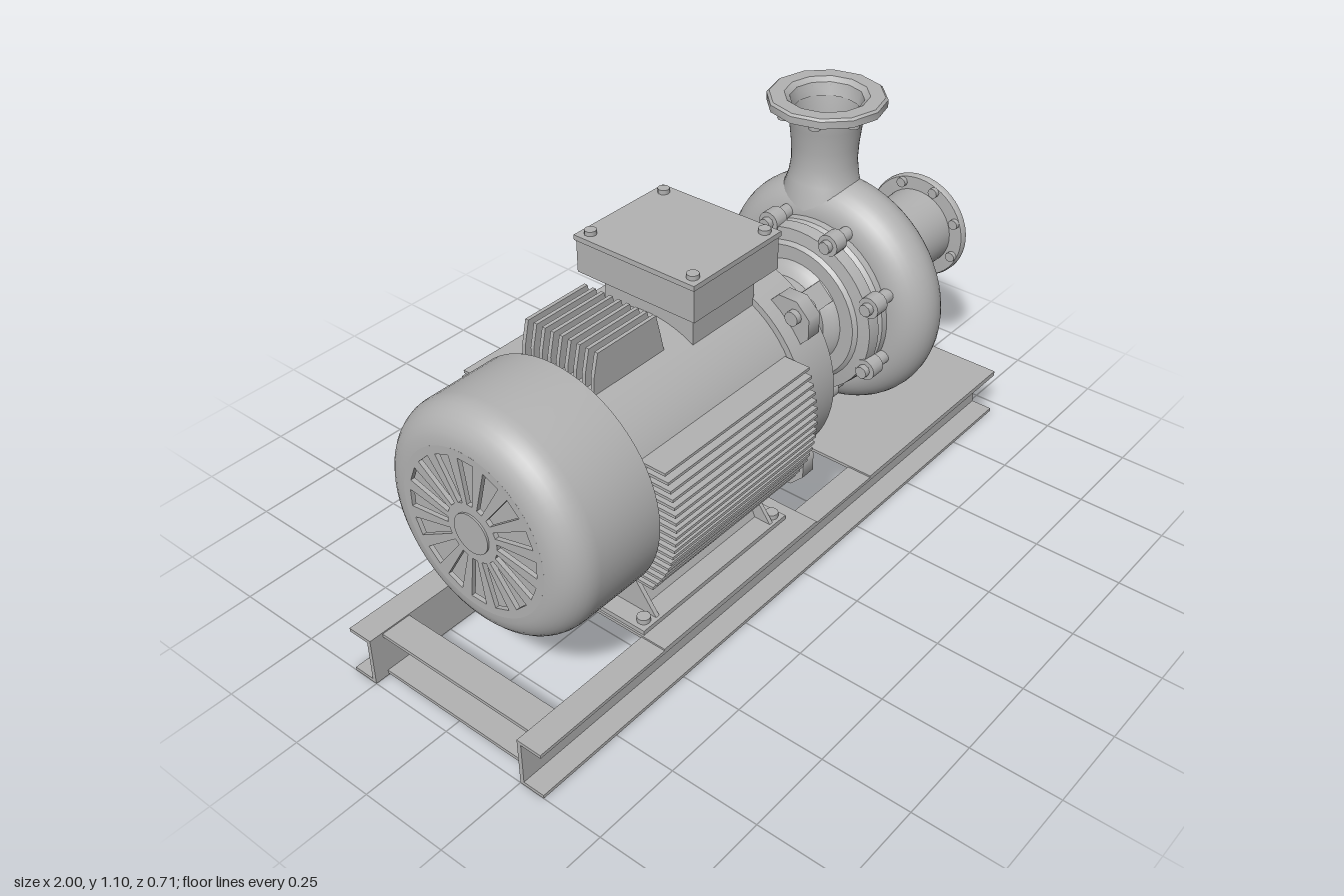
import * as THREE from 'three';
import { toCreasedNormals } from 'three/addons/utils/BufferGeometryUtils.js';

const AXIS_Y = 0.525;

export function createModel() {
  const model = new THREE.Group();
  model.name = 'motorPump';
  const grey = new THREE.MeshStandardMaterial({ color: 0xb2b2b2, side: THREE.DoubleSide });
  grey.name = 'castGrey';

  const add = (name, geo, x = 0, y = 0, z = 0, parent = model) => {
    const mesh = new THREE.Mesh(geo, grey);
    mesh.name = name;
    mesh.position.set(x, y, z);
    parent.add(mesh);
    return mesh;
  };
  // Box given by its limits
  const box = (name, x0, x1, y0, y1, z0, z1) =>
    add(name, new THREE.BoxGeometry(x1 - x0, y1 - y0, z1 - z0), (x0 + x1) / 2, (y0 + y1) / 2, (z0 + z1) / 2);
  // Turned part; points are [radius, height]
  const turned = (pts, seg = 48) =>
    toCreasedNormals(new THREE.LatheGeometry(pts.map(p => new THREE.Vector2(p[0], p[1])), seg), 0.6);
  // Turned part around the shaft; points are [radius, x]
  const shaftPart = (name, pts, seg) => add(name, turned(pts, seg).rotateZ(-Math.PI / 2), 0, AXIS_Y, 0);
  const rodX = (name, r, x0, x1, y, z, seg = 12) =>
    add(name, new THREE.CylinderGeometry(r, r, x1 - x0, seg).rotateZ(Math.PI / 2), (x0 + x1) / 2, y, z);
  const boltY = (name, r, h, x, y, z) => add(name, new THREE.CylinderGeometry(r, r, h, 10), x, y, z);
  // Calls fn(y, z, angle) for n places around the shaft
  const around = (n, r, start, fn) => {
    for (let i = 0; i < n; i++) {
      const a = start + i * Math.PI * 2 / n;
      fn(AXIS_Y + r * Math.sin(a), r * Math.cos(a), a);
    }
  };
  const arc = (cr, cx, r, a0, a1, n) => Array.from({ length: n + 1 }, (_, i) => {
    const a = a0 + (a1 - a0) * i / n;
    return [cr + r * Math.cos(a), cx + r * Math.sin(a)];
  });

  // Base frame: two outward channels and an end channel
  for (const s of [-1, 1]) {
    const z = (a, b) => s > 0 ? [a, b] : [-b, -a];
    box('railWeb', -1, 0.955, 0, 0.142, ...z(0.25, 0.262));
    box('railTopFlange', -1, 0.955, 0.132, 0.142, ...z(0.25, 0.325));
    box('railBottomFlange', -1, 0.955, 0, 0.01, ...z(0.25, 0.325));
  }
  box('endWeb', -0.885, -0.873, 0.006, 0.138, -0.255, 0.255);
  box('endTopFlange', -0.96, -0.873, 0.128, 0.138, -0.255, 0.255);
  box('endBottomFlange', -0.96, -0.873, 0.006, 0.016, -0.255, 0.255);
  box('motorPlate', -0.57, 0.05, 0.138, 0.147, -0.325, 0.325);
  box('pumpPlate', 0.3, 0.955, 0.138, 0.147, -0.325, 0.325);

  // Pump support bracket
  box('bracketUpright', 0.676, 0.68, 0.147, 0.37, -0.115, 0.118);
  box('bracketFoot', 0.676, 0.74, 0.147, 0.152, -0.115, 0.118);

  // Motor feet: splayed pedestal on a bolted flange
  const pedestal = new THREE.Shape([[-0.2, 0.15], [0.2, 0.15], [0.13, 0.32], [-0.13, 0.32]]
    .map(p => new THREE.Vector2(...p)));
  add('motorPedestal', new THREE.ExtrudeGeometry(pedestal, { depth: 0.47, bevelEnabled: false })
    .rotateY(Math.PI / 2), -0.51, 0, 0);
  box('footFlange', -0.565, 0.005, 0.147, 0.16, -0.255, 0.255);
  for (const x of [-0.535, -0.02]) for (const s of [-1, 1]) {
    boltY('footBolt', 0.018, 0.016, x, 0.166, s * 0.228);
    const rib = new THREE.Shape([[0.15, 0.155], [0.25, 0.155], [0.165, 0.27], [0.1, 0.27]]
      .map(p => new THREE.Vector2(-s * p[0], p[1])));
    add('footRib', new THREE.ExtrudeGeometry(rib, { depth: 0.012, bevelEnabled: false })
      .rotateY(Math.PI / 2), x < -0.2 ? -0.51 : -0.052, 0, 0);
  }

  // Motor barrel and front bell
  shaftPart('motorBody', [[0, -0.57], [0.29, -0.57], [0.29, 0.01], [0, 0.01]], 64);
  shaftPart('motorBell', [[0, -0.005], [0.308, -0.005], [0.308, 0.125], [0.3, 0.132], [0.18, 0.135], [0, 0.135]], 64);

  // Side cooling fins
  for (let i = 0; i < 18; i++) {
    const y = 0.305 + i * 0.0215;
    const tip = Math.sqrt(0.355 ** 2 - (y - AXIS_Y) ** 2);
    for (const s of [-1, 1])
      box('sideFin', -0.555, -0.01, y - 0.004, y + 0.004, ...(s > 0 ? [0.15, tip] : [-tip, -0.15]));
  }
  // Top cooling fins with sloping ends
  const topFin = new THREE.Shape([[-0.555, 0.75], [-0.3, 0.75], [-0.32, 0.84], [-0.335, 0.9], [-0.535, 0.9], [-0.55, 0.84]]
    .map(p => new THREE.Vector2(...p)));
  for (let i = 0; i < 9; i++)
    add('topFin', new THREE.ExtrudeGeometry(topFin, { depth: 0.01, bevelEnabled: false }), 0, 0, -0.113 + i * 0.027);

  // Fan cover with slotted grille
  shaftPart('fanCover', [[0.225, -0.855], ...arc(0.225, -0.765, 0.09, -Math.PI / 2, 0, 8),
    [0.315, -0.565], [0.28, -0.565]], 64);
  const grille = new THREE.Shape().absarc(0, 0, 0.226, 0, Math.PI * 2);
  for (let i = 0; i < 16; i++) {
    const a = i * Math.PI / 8, at = (r, d) => new THREE.Vector2(r * Math.cos(a + d), r * Math.sin(a + d));
    grille.holes.push(new THREE.Path([at(0.08, -0.1), at(0.08, 0.1), at(0.205, 0.12), at(0.205, -0.12)]));
  }
  add('fanGrille', new THREE.ExtrudeGeometry(grille, { depth: 0.012, bevelEnabled: false, curveSegments: 48 })
    .rotateY(Math.PI / 2), -0.855, AXIS_Y, 0);
  rodX('grilleBack', 0.24, -0.835, -0.825, AXIS_Y, 0, 40);
  rodX('grilleHub', 0.055, -0.86, -0.84, AXIS_Y, 0, 24);

  // Terminal box
  box('terminalNeck', -0.235, 0.0, 0.75, 0.885, -0.14, 0.14);
  box('terminalBox', -0.28, 0.04, 0.88, 0.972, -0.187, 0.182);
  box('terminalLid', -0.285, 0.045, 0.97, 0.984, -0.19, 0.186);
  for (const x of [-0.255, 0.015]) for (const z of [-0.162, 0.158])
    boltY('lidBolt', 0.016, 0.016, x, 0.988, z);

  // Bell lugs and bolts
  around(4, 0.306, Math.PI / 4, (y, z) => {
    add('bellLug', new THREE.CylinderGeometry(0.072, 0.072, 0.045, 8).rotateY(Math.PI / 8)
      .rotateZ(Math.PI / 2), 0.06, y, z);
  });
  around(4, 0.34, Math.PI / 4, (y, z) => rodX('bellBolt', 0.02, 0.02, 0.1, y, z));

  // Lantern between motor and pump, with ribs
  shaftPart('lantern', [[0, 0.13], [0.175, 0.13], [0.175, 0.15], [0.15, 0.175], [0.125, 0.19], [0.125, 0.33],
    [0.15, 0.345], [0.165, 0.37], [0, 0.37]], 40);
  around(4, 0.13, Math.PI / 4, (y, z, a) => {
    add('lanternRib', new THREE.BoxGeometry(0.21, 0.065, 0.055), 0.25, y, z).rotation.x = Math.PI - a;
  });

  // Pump back cover with bolted lugs
  shaftPart('backCover', [[0, 0.36], [0.2, 0.36], [0.21, 0.37], [0.245, 0.375], [0.25, 0.41], [0.235, 0.425],
    [0.245, 0.435], [0.25, 0.48], [0, 0.48]], 48);
  around(8, 0.258, Math.PI / 8, (y, z) => {
    rodX('coverLug', 0.031, 0.37, 0.415, y, z, 14);
    rodX('coverStud', 0.02, 0.41, 0.48, y, z);
    rodX('coverBolt', 0.018, 0.352, 0.372, y, z, 8);
  });

  // Pump casing
  shaftPart('volute', [[0, 0.455], [0.2, 0.455], ...arc(0.25, 0.547, 0.093, -Math.PI / 2, Math.PI / 2, 16),
    [0.216, 0.64], [0.214, 0.672], [0.208, 0.676], [0, 0.676]], 64);

  // Discharge neck and flange, open at the top
  const neck = turned([[0.14, 0.66], [0.125, 0.8], [0.1, 0.86], [0.09, 0.91], [0.092, 0.96], [0.099, 1.02], [0.11, 1.07],
    [0.11, 1.08], [0.098, 1.08], [0.082, 1.0], [0.08, 0.85], [0, 0.85]]);
  // Squeeze the root so it blends into the casing
  const p = neck.attributes.position;
  for (let i = 0; i < p.count; i++) {
    const r = Math.hypot(p.getX(i), p.getZ(i));
    if (p.getY(i) < 0.9 && r > 0.09) p.setX(i, p.getX(i) * 0.09 / r);
  }
  add('dischargeNeck', neck, 0.545, 0, -0.045);
  const flangeTop = turned([[0.1, 1.07], [0.162, 1.07], [0.162, 1.09], [0.155, 1.096], [0.115, 1.096],
    [0.1, 1.085], [0.09, 1.05]], 12);
  add('dischargeFlange', flangeTop, 0.545, 0, -0.045);
  for (let i = 0; i < 8; i++) {
    const a = Math.PI / 8 + i * Math.PI / 4;
    boltY('dischargeBolt', 0.017, 0.018, 0.545 + 0.132 * Math.cos(a), 1.064, -0.045 + 0.132 * Math.sin(a));
  }

  // Suction pipe and rounded flange, open at the end
  shaftPart('suctionPipe', [[0.165, 0.67], [0.165, 0.69], [0.125, 0.7], [0.119, 0.72], [0.117, 0.85], [0.119, 0.97],
    [0.158, 0.972], [0.162, 0.98], [0.162, 0.992], [0.154, 1.0], [0.128, 1.0], [0.114, 0.992], [0.109, 0.975],
    [0.107, 0.72], [0.08, 0.69], [0, 0.68]], 48);
  around(8, 0.143, Math.PI / 8, (y, z) => {
    rodX('suctionBolt', 0.016, 0.685, 0.706, y, z);
    rodX('suctionFlangeBolt', 0.015, 0.958, 0.975, y, z);
  });

  return model;
}
